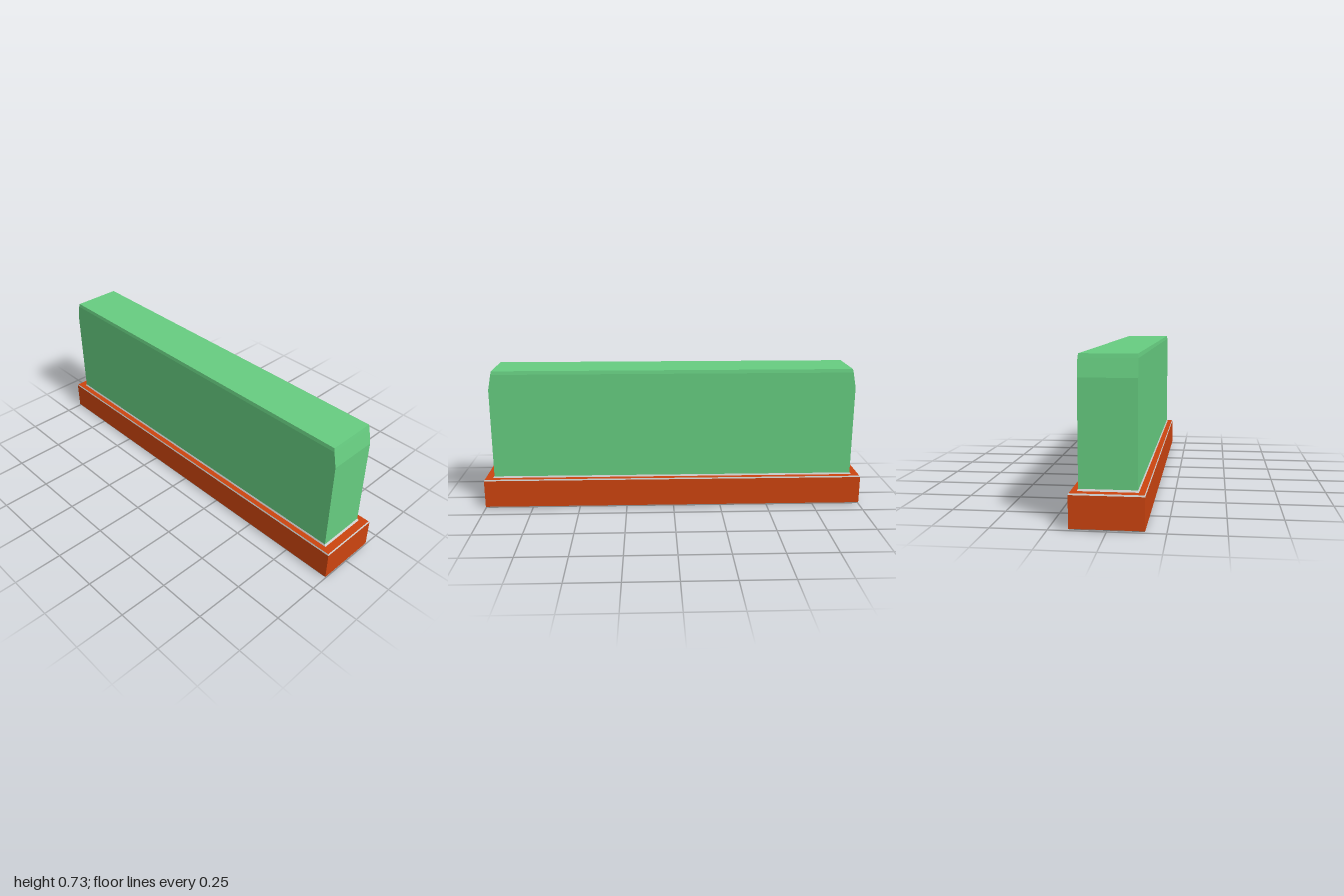
import * as THREE from 'three';

// Stack of rectangular rings [y, halfX, halfZ], joined by flat quads, with optional end caps.
function loft(name, rings, color, { top = false, bottom = false } = {}) {
  const pos = [];
  const corners = ([y, x, z]) => [[x, y, z], [x, y, -z], [-x, y, -z], [-x, y, z]];
  const quad = (a, b, c, d) => pos.push(...a, ...b, ...c, ...a, ...c, ...d);
  for (let i = 0; i < rings.length - 1; i++) {
    const lo = corners(rings[i]), hi = corners(rings[i + 1]);
    for (let k = 0; k < 4; k++) {
      const n = (k + 1) % 4;
      quad(lo[k], lo[n], hi[n], hi[k]);
    }
  }
  if (top) quad(...corners(rings[rings.length - 1]));
  if (bottom) quad(...corners(rings[0]).reverse());
  const geometry = new THREE.BufferGeometry();
  geometry.setAttribute('position', new THREE.Float32BufferAttribute(pos, 3));
  geometry.computeVertexNormals();
  const mesh = new THREE.Mesh(geometry, new THREE.MeshStandardMaterial({ color, flatShading: true }));
  mesh.name = name;
  return mesh;
}

export function createModel() {
  const group = new THREE.Group();
  group.name = 'planterHedge';
  const grey = 0xcccccc, clay = 0xcc440f, leaf = 0x66cc80;

  // Shared rings where the colour changes
  const wallFoot = [0.008, 0.161, 1], wallTop = [0.152, 0.161, 1];
  const rimOuter = [0.159, 0.158, 0.996], rimInner = [0.159, 0.131, 0.958];
  const hedgeFoot = [0.167, 0.1265, 0.95];

  group.add(
    // Planter box: bevelled underside, walls, bevelled lip and flat rim
    loft('planterUnderside', [[0, 0.157, 0.985], wallFoot], grey, { bottom: true }),
    loft('planterWalls', [wallFoot, wallTop], clay),
    loft('planterLip', [wallTop, rimOuter], grey),
    loft('planterRim', [rimOuter, rimInner], clay),
    // Thin sloped trim around the foot of the hedge
    loft('hedgeTrim', [rimInner, hedgeFoot], grey),
    // Hedge block, tapered at both ends and slightly bevelled along the top
    loft('hedge', [
      hedgeFoot,
      [0.635, 0.1265, 0.95],
      [0.715, 0.1265, 0.934],
      [0.733, 0.1235, 0.93],
    ], leaf, { top: true }),
  );
  return group;
}
